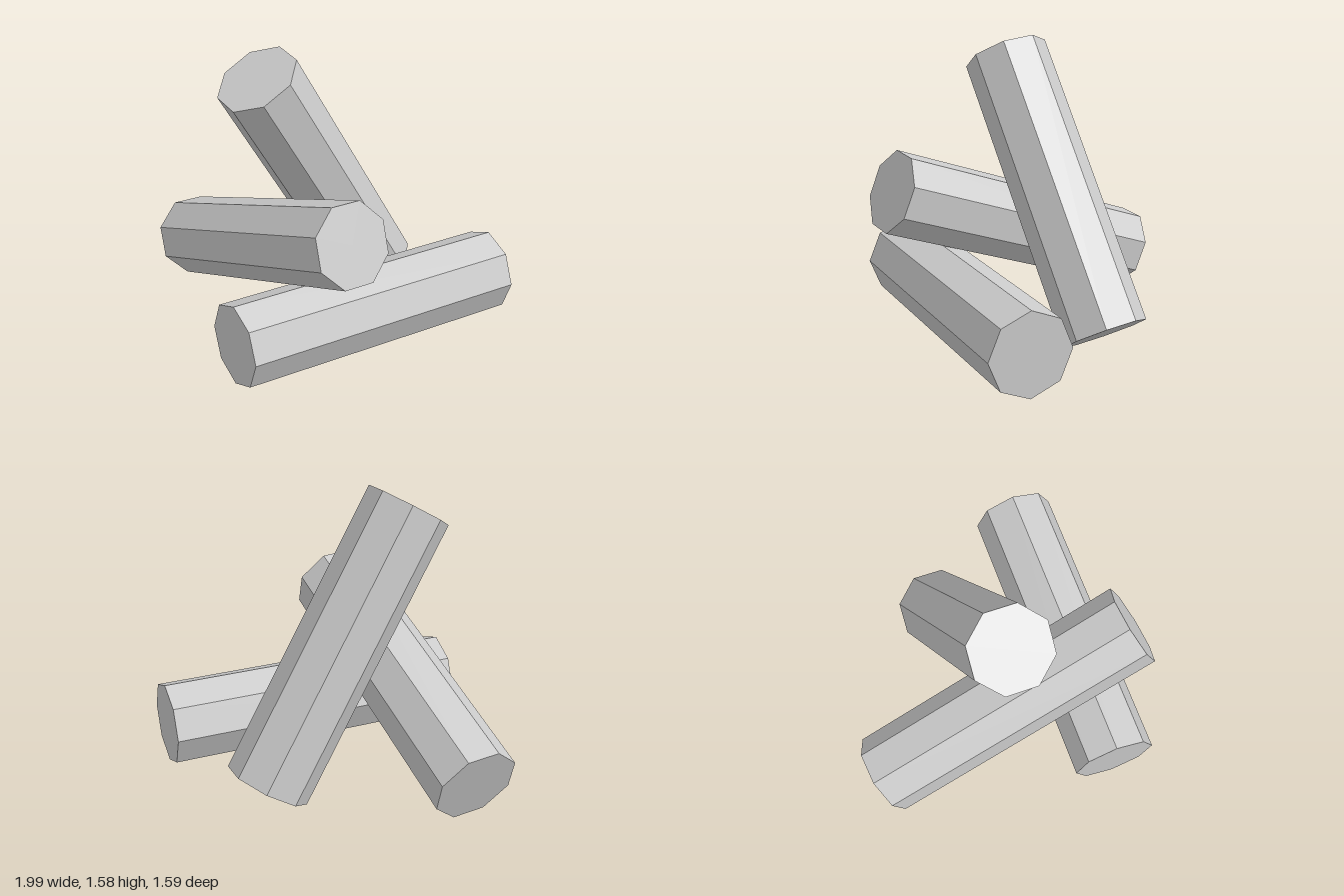
import * as THREE from 'three';

const RADIUS = 0.224;

// Octagonal log from one end centre to the other; ridge points from the axis to one long edge.
function makeLog(name, start, end, ridge, material) {
  const a = new THREE.Vector3(...start);
  const b = new THREE.Vector3(...end);
  const axis = b.clone().sub(a);
  const geometry = new THREE.CylinderGeometry(RADIUS, RADIUS, axis.length(), 8);

  const y = axis.normalize();
  const x = y.clone().cross(new THREE.Vector3(...ridge)).normalize();
  const z = x.clone().cross(y);

  const log = new THREE.Mesh(geometry, material);
  log.name = name;
  log.quaternion.setFromRotationMatrix(new THREE.Matrix4().makeBasis(x, y, z));
  log.position.copy(a).add(b).multiplyScalar(0.5);
  return log;
}

export function createModel() {
  const group = new THREE.Group();
  group.name = 'logPile';
  const grey = new THREE.MeshStandardMaterial({ color: 0xcccccc, flatShading: true });
  grey.name = 'light grey';

  group.add(
    // Log lying flat on the ground
    makeLog('lyingLog', [-0.45, 0.26, 0.605], [0.87, 0.248, -0.285], [0, 1, 0], grey),
    // Log resting across the lying one
    makeLog('slopingLog', [-0.823, 0.262, -0.603], [0.137, 0.807, 0.542], [-0.102, 0.198, -0.008], grey),
    // Steep log leaning over the others
    makeLog('leaningLog', [0.235, 0.123, -0.591], [-0.364, 1.465, 0.016], [-0.053, 0.07, -0.206], grey),
  );
  return group;
}
